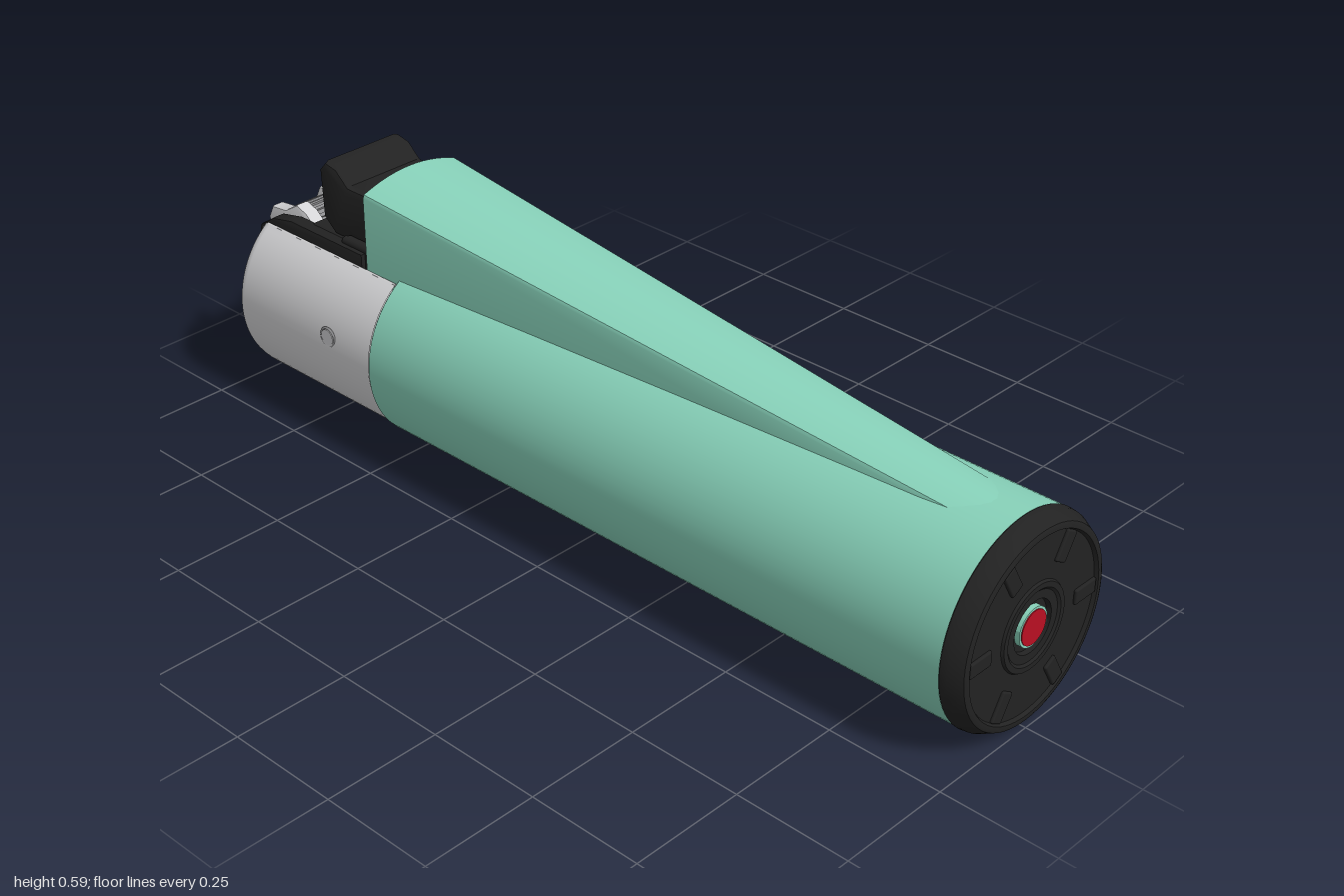
import * as THREE from 'three';
import { toCreasedNormals } from 'three/addons/utils/BufferGeometryUtils.js';
import { RoundedBoxGeometry } from 'three/addons/geometries/RoundedBoxGeometry.js';

const CY = 0.22; // height of the body axis

export function createModel() {
  const group = new THREE.Group();
  const mat = (name, color, side = THREE.FrontSide) => {
    const m = new THREE.MeshStandardMaterial({ color, side });
    m.name = name;
    return m;
  };
  const green = mat('mint green', 0x88d2ba);
  const silver = mat('light silver', 0xd6d6d8, THREE.DoubleSide);
  const steel = mat('grey steel', 0x8e8e90);
  const black = mat('black', 0x222222);
  const red = mat('red', 0xb90f22);

  const add = (name, geo, material, x = 0, y = 0, z = 0) => {
    const m = new THREE.Mesh(geo, material);
    m.name = name;
    m.position.set(x, y, z);
    group.add(m);
    return m;
  };
  // Turned part along x; points are [radius, x]
  const turned = (name, pts, material, start = 0, length = Math.PI * 2) => {
    const g = new THREE.LatheGeometry(pts.map(p => new THREE.Vector2(p[0], p[1])), 72, start, length);
    g.rotateZ(-Math.PI / 2);
    return add(name, toCreasedNormals(g, 0.6), material, 0, CY, 0);
  };
  // Side profile (x, y) given thickness across z
  const plate = (name, pts, width, material, z = 0, bevel = 0.01) => {
    const s = new THREE.Shape(pts.map(p => new THREE.Vector2(p[0], p[1])));
    const g = new THREE.ExtrudeGeometry(s, {
      depth: width - 2 * bevel, bevelSize: bevel, bevelOffset: -bevel,
      bevelThickness: bevel, bevelSegments: 2, curveSegments: 8
    });
    g.translate(0, 0, -width / 2 + bevel);
    return add(name, toCreasedNormals(g, 0.7), material, 0, 0, z);
  };
  // Wheel or pin lying across z
  const wheel = (name, r, width, material, x, y, z, sides = 32) => {
    const g = new THREE.CylinderGeometry(r, r, width, sides);
    g.rotateX(Math.PI / 2);
    return add(name, g, material, x, y, z);
  };

  // Cylindrical sleeve
  turned('sleeve', [[0, -0.53], [0.212, -0.53], [0.218, -0.524], [0.218, 0.955], [0, 0.955]], green);

  // Tapering raised spine, hollow at its open end
  const section = (x, inset) => {
    const t = (x + 0.62) / 1.55;
    const w = THREE.MathUtils.lerp(0.128, 0.062, t) - inset;
    const top = THREE.MathUtils.lerp(0.587, 0.434, t) - inset;
    const drop = THREE.MathUtils.lerp(0.021, 0.011, t);
    const c = 0.01;
    const pts = [[x, 0.34, w], [x, top - drop - c, w], [x, top - drop - c * 0.3, w - c * 0.3]];
    for (let i = 0; i <= 12; i++) {
      const u = 1 - i / 6;
      pts.push([x, top - drop * u * u, u * (w - c)]);
    }
    pts.push([x, top - drop - c * 0.3, -w + c * 0.3], [x, top - drop - c, -w], [x, 0.34, -w]);
    return pts;
  };
  const rings = [section(-0.4, 0.016), section(-0.62, 0.016), section(-0.62, 0), section(0.93, 0)];
  const n = rings[0].length;
  const index = [];
  for (let r = 0; r < rings.length - 1; r++) {
    for (let i = 0; i < n; i++) {
      const j = (i + 1) % n, a = r * n, b = a + n;
      index.push(a + i, b + i, a + j, b + i, b + j, a + j);
    }
  }
  // back wall of the hollow, and the buried tip
  for (let i = 1; i < n - 1; i++) {
    index.push(0, i, i + 1);
    index.push(3 * n, 3 * n + i + 1, 3 * n + i);
  }
  const spine = new THREE.BufferGeometry();
  spine.setAttribute('position', new THREE.Float32BufferAttribute(rings.flat(2), 3));
  spine.setIndex(index);
  const spineMat = mat('mint green spine', 0x88d2ba, THREE.DoubleSide);
  add('spine', toCreasedNormals(spine, 0.6), spineMat);

  // Metal hood, open along the top
  const gap = 0.65;
  turned('hood',
    [[0.196, -0.53], [0.196, -0.945], [0.2, -0.954], [0.206, -0.955], [0.212, -0.948], [0.214, -0.935], [0.214, -0.53]],
    silver, Math.PI * 1.5 + gap, Math.PI * 2 - 2 * gap);
  for (const s of [-1, 1]) {
    const edge = add('hoodEdge', new THREE.BoxGeometry(0.41, 0.019, 0.004), silver,
      -0.737, CY + 0.205 * Math.cos(gap), s * 0.205 * Math.sin(gap));
    edge.rotation.x = s * gap;
    // rivet with a ring around it
    const z = s * 0.211;
    wheel('rivet', 0.018, 0.006, silver, -0.66, 0.25, z, 24);
    add('rivetRing', new THREE.TorusGeometry(0.021, 0.003, 6, 28), steel, -0.66, 0.25, z);
  }
  turned('hoodFloor', [[0, -0.6], [0.197, -0.6], [0.197, -0.59]], silver);

  // Thumb lever
  plate('thumbLever', [[-0.785, 0.45], [-0.79, 0.56], [-0.77, 0.582], [-0.735, 0.575], [-0.7, 0.545],
    [-0.56, 0.545], [-0.56, 0.43], [-0.7, 0.43], [-0.715, 0.42], [-0.75, 0.42]], 0.21, black, 0, 0.014);
  add('leverBase', new RoundedBoxGeometry(0.16, 0.12, 0.23, 2, 0.01), black, -0.64, 0.37, 0);
  add('leverBridge', new RoundedBoxGeometry(0.14, 0.07, 0.21, 2, 0.01), black, -0.76, 0.385, 0);

  // Side arms, flint wheels and nozzle parts
  for (const s of [-1, 1]) {
    plate('sideArm', [[-0.64, 0.418], [-0.87, 0.418], [-0.93, 0.405], [-0.975, 0.375], [-0.988, 0.33],
      [-0.965, 0.285], [-0.93, 0.265], [-0.88, 0.28], [-0.83, 0.33], [-0.64, 0.35]], 0.035, black, s * 0.108, 0.006);
    plate('wheelGuard', [[-0.82, 0.38], [-0.87, 0.42], [-0.9, 0.43], [-0.94, 0.405], [-0.985, 0.4], [-1, 0.37],
      [-0.985, 0.33], [-1, 0.29], [-0.98, 0.255], [-0.93, 0.27], [-0.86, 0.29]], 0.034, silver, s * 0.066, 0.006);
  }
  wheel('flintWheel', 0.062, 0.09, steel, -0.915, 0.345, 0, 24);
  for (let i = 0; i < 20; i++) {
    const a = i * Math.PI / 10;
    const tooth = add('flintTooth', new THREE.BoxGeometry(0.008, 0.008, 0.08), steel,
      -0.915 + 0.062 * Math.cos(a), 0.345 + 0.062 * Math.sin(a), 0);
    tooth.rotation.z = a;
  }
  wheel('axle', 0.016, 0.24, steel, -0.915, 0.345, 0, 20);
  add('wheelSupport', new RoundedBoxGeometry(0.11, 0.05, 0.15, 2, 0.008), green, -0.89, 0.265, 0);
  const tube = new THREE.CylinderGeometry(0.04, 0.04, 0.28, 24);
  tube.rotateZ(Math.PI / 2);
  add('nozzle', tube, black, -0.73, 0.31, 0);

  // Black end cap with grooves and raised centre ring
  turned('endCap', [[0, 0.95], [0.214, 0.95], [0.219, 0.957], [0.217, 0.972], [0.203, 0.998], [0.198, 1],
    [0.19, 1], [0.186, 0.993], [0.092, 0.993], [0.089, 0.998], [0.078, 0.998], [0.073, 0.994],
    [0.055, 0.994], [0.053, 0.984], [0, 0.984]], black);
  for (let i = 0; i < 6; i++) {
    const a = i * Math.PI / 3;
    const lug = add('capLug', new RoundedBoxGeometry(0.012, 0.032, 0.062, 2, 0.004), black,
      0.993, CY + 0.155 * Math.sin(a), 0.155 * Math.cos(a));
    lug.rotation.x = -a;
  }
  turned('buttonRing', [[0.041, 0.983], [0.041, 0.995], [0.035, 0.995], [0, 0.995]], green);
  turned('redButton', [[0.036, 0.99], [0.036, 0.997], [0, 0.997]], red);

  return group;
}
